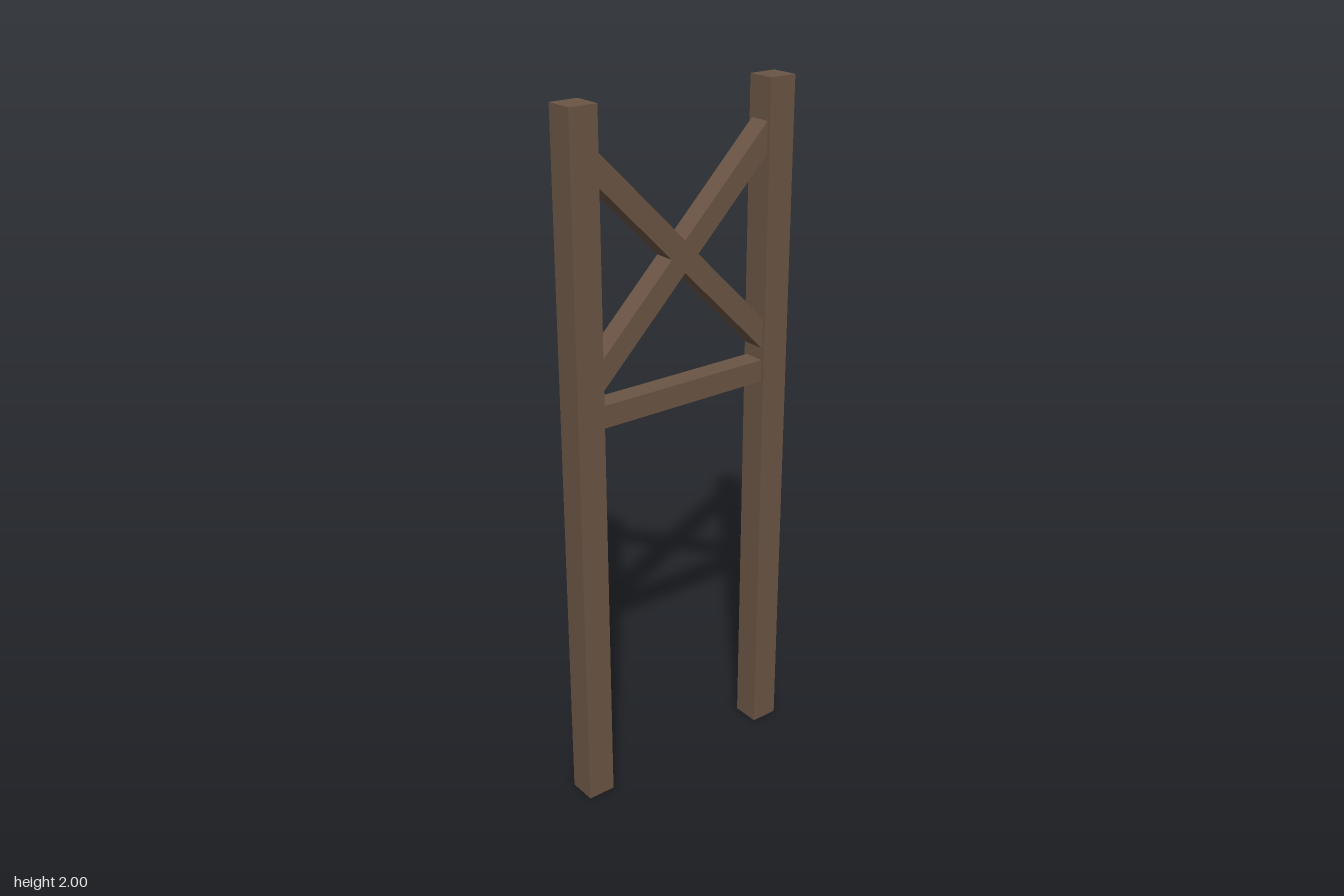
import * as THREE from 'three';

export function createModel() {
  const group = new THREE.Group();
  const wood = new THREE.MeshStandardMaterial({ color: 0x6b5544 });

  const beam = (name, w, h, d, x, y, tilt = 0) => {
    const mesh = new THREE.Mesh(new THREE.BoxGeometry(w, h, d), wood);
    mesh.name = name;
    mesh.position.set(x, y, 0);
    mesh.rotation.z = tilt;
    group.add(mesh);
  };

  for (const side of [1, -1]) {
    const label = side > 0 ? 'left' : 'right';
    // Upright post
    beam(label + 'Post', 0.083, 2, 0.083, side * 0.3145, 1);
    // Diagonal brace, its ends buried in the posts
    beam(label + 'RisingBrace', 0.86, 0.062, 0.063, 0, 1.57, side * Math.PI / 4);
  }

  // Horizontal rail under the crossed braces
  beam('crossRail', 0.56, 0.064, 0.063, 0, 1.186);

  return group;
}
